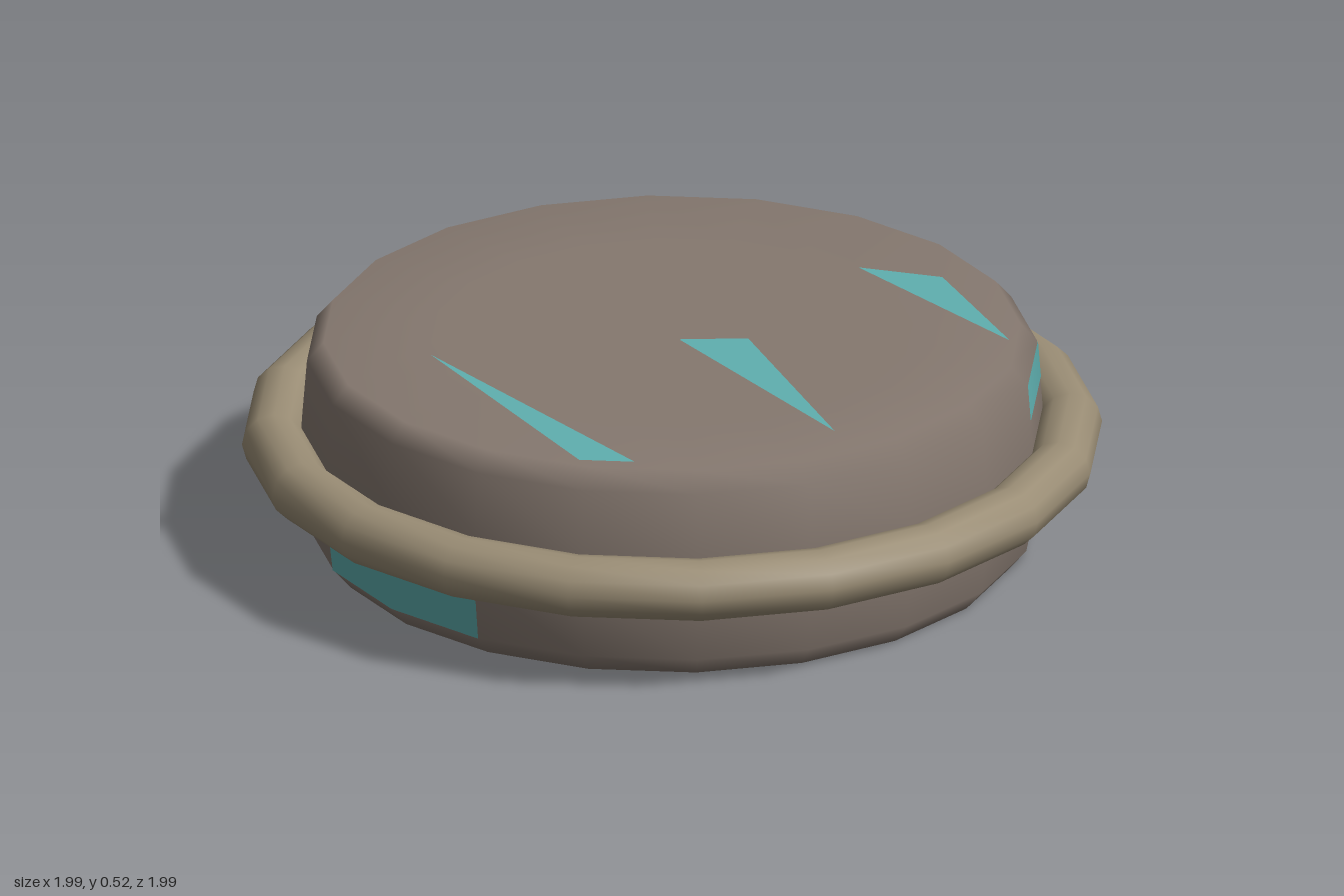
import * as THREE from 'three';

const SEGMENTS = 20;
const STEP = (Math.PI * 2) / SEGMENTS;
const START = STEP / 2;
const HEIGHT = 0.515;

const bodyPaint = new THREE.MeshStandardMaterial({ color: 0x85786f });
const ringPaint = new THREE.MeshStandardMaterial({ color: 0x9a8d75 });
const tealPaint = new THREE.MeshStandardMaterial({ color: 0x5fb0b0 });

// Revolve a profile of [radius, height] pairs over whole facets
function revolve(name, profile, material, first = 0, count = SEGMENTS, grow = 0) {
  const points = profile.map(([r, y]) => new THREE.Vector2(r + grow, y));
  const geometry = new THREE.LatheGeometry(points, count, START + first * STEP, count * STEP);
  const mesh = new THREE.Mesh(geometry, material);
  mesh.name = name;
  return mesh;
}

// Thin triangular patch lying on the top or bottom face, corners as [x, z]
function facePatch(name, corners, y, up) {
  const [a, b, c] = corners;
  const cross = (b[0] - a[0]) * (c[1] - a[1]) - (b[1] - a[1]) * (c[0] - a[0]);
  const facesUp = cross < 0;
  const ordered = facesUp === up ? [a, b, c] : [a, c, b];
  const geometry = new THREE.BufferGeometry();
  geometry.setAttribute('position', new THREE.Float32BufferAttribute(
    ordered.flatMap(([x, z]) => [x, y, z]), 3));
  geometry.computeVertexNormals();
  const mesh = new THREE.Mesh(geometry, tealPaint);
  mesh.name = name;
  return mesh;
}

// Points around the ring's round cross-section
function ringArc(from, to, steps) {
  return Array.from({ length: steps + 1 }, (_, i) => {
    const a = from + ((to - from) * i) / steps;
    return [0.931 + 0.075 * Math.cos(a), 0.262 + 0.073 * Math.sin(a)];
  });
}

export function createModel() {
  const model = new THREE.Group();
  model.name = 'ringedDisc';

  // Solid disc with softened edges, smooth shaded
  model.add(revolve('discBody', [
    [0, 0], [0.55, 0], [0.81, 0], [0.852, 0.05], [0.868, 0.2],
    [0.866, 0.32], [0.854, 0.47], [0.815, HEIGHT], [0.55, HEIGHT], [0, HEIGHT],
  ], bodyPaint));

  // Round band about the middle, its seam hidden inside the disc
  model.add(revolve('middleRing', ringArc(-Math.PI, Math.PI, 12), ringPaint));

  // Teal patches on the sides of the disc and the ring
  const patches = new THREE.Group();
  patches.name = 'tealPatches';
  patches.add(
    revolve('upperSidePatch', [[0.861, 0.38], [0.854, 0.47]], tealPaint, 4, 1, 0.002),
    revolve('lowerSidePatch', [[0.852, 0.05], [0.863, 0.15]], tealPaint, -4, 2, 0.002),
    revolve('ringPatch', ringArc(0, Math.PI / 3, 2), tealPaint, 7, 2, 0.002),
  );

  // Teal patches on the flat faces
  [
    [[0.02, 0.04], [0.18, 0.02], [0.43, 0.55]],
    [[-0.55, 0.18], [-0.02, 0.77], [-0.15, 0.77]],
    [[0.4, -0.42], [0.6, -0.38], [0.79, -0.02]],
  ].forEach((t) => patches.add(facePatch('topPatch', t, HEIGHT + 0.002, true)));
  [
    [[0.36, -0.7], [0.55, -0.56], [-0.16, -0.24]],
    [[0.13, -0.01], [-0.56, 0.52], [-0.41, 0.67]],
  ].forEach((t) => patches.add(facePatch('bottomPatch', t, -0.002, false)));
  patches.position.y = 0;
  model.add(patches);

  return model;
}
